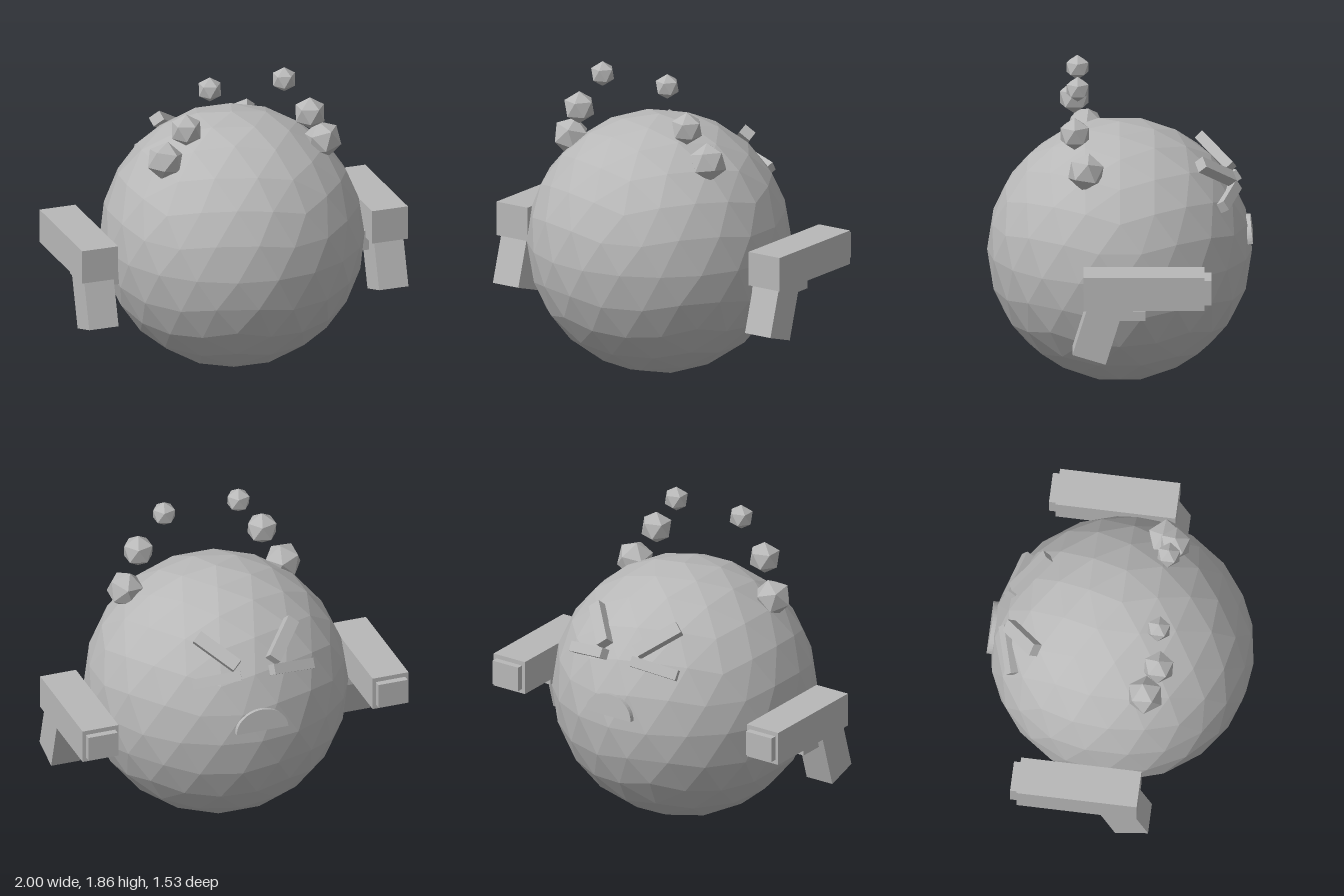
import * as THREE from 'three';

const bodyGray = new THREE.MeshStandardMaterial({ color: 0xb8b8b8, flatShading: true });
bodyGray.name = 'bodyGray';

const R = 0.762; // body radius, also the height of its centre

// Icosphere with its poles on the y axis; each level splits every triangle in four
function icosphere(radius, levels) {
  let verts = [0, -1, 0];
  for (const side of [-1, 1]) {
    for (let k = 0; k < 5; k++) {
      const a = k * Math.PI * 0.4 + (side < 0 ? Math.PI : 0);
      verts.push(0.8944 * Math.cos(a), side * 0.4472, 0.8944 * Math.sin(a));
    }
  }
  verts.push(0, 1, 0);
  let faces = [];
  const low = k => 1 + k % 5, up = k => 6 + k % 5;
  for (let k = 0; k < 5; k++) {
    faces.push(0, low(k), low(k + 1), 11, up(k + 1), up(k));
    faces.push(low(k), up(k + 3), low(k + 1), low(k), up(k + 2), up(k + 3));
  }
  let geo = new THREE.PolyhedronGeometry(verts, faces, radius, 0);
  for (let i = 0; i < levels; i++) {
    verts = Array.from(geo.attributes.position.array);
    faces = verts.slice(0, verts.length / 3).map((_, n) => n);
    geo = new THREE.PolyhedronGeometry(verts, faces, radius, 1);
  }
  return geo;
}

function add(parent, name, geo, x = 0, y = 0, z = 0) {
  const mesh = new THREE.Mesh(geo, bodyGray);
  mesh.name = name;
  mesh.position.set(x, y, z);
  parent.add(mesh);
  return mesh;
}

// Box given by its extents on each axis
function addBox(parent, name, [x0, x1], [y0, y1], [z0, z1]) {
  return add(parent, name, new THREE.BoxGeometry(x1 - x0, y1 - y0, z1 - z0),
    (x0 + x1) / 2, (y0 + y1) / 2, (z0 + z1) / 2);
}

// Bar between two points, lying flat against the body
function addBar(parent, name, from, to, width, depth) {
  const mid = from.clone().add(to).multiplyScalar(0.5);
  const along = to.clone().sub(from);
  const length = along.length();
  along.normalize();
  const out = mid.clone().sub(new THREE.Vector3(0, R, 0));
  out.addScaledVector(along, -out.dot(along)).normalize();
  const across = out.clone().cross(along);
  const bar = add(parent, name, new THREE.BoxGeometry(length, width, depth), mid.x, mid.y, mid.z);
  bar.quaternion.setFromRotationMatrix(new THREE.Matrix4().makeBasis(along, across, out));
}

// Blaster arm, built around x = 0 and moved to its side
function makeArm(s) {
  const arm = new THREE.Group();
  arm.name = s > 0 ? 'leftArm' : 'rightArm';
  addBox(arm, 'barrel', [-0.11, 0.11], [0.678, 0.878], [-0.486, 0.211]);
  addBox(arm, 'muzzle', [-0.09, 0.09], [0.705, 0.852], [-0.525, -0.48]);
  addBox(arm, 'trigger', [-0.05, 0.05], [0.602, 0.66], [-0.147, 0.06]);
  const grip = add(arm, 'grip', new THREE.BoxGeometry(0.18, 0.36, 0.2), 0, 0.553, 0.126);
  grip.rotation.x = -0.298;
  // Stub joining the arm to the body
  const stub = [-0.25, -0.04].map(v => v * s).sort((a, b) => a - b);
  addBox(arm, 'hand', stub, [0.6, 0.72], [-0.04, 0.107]);
  arm.position.x = s * 0.89;
  return arm;
}

export function createModel() {
  const model = new THREE.Group();
  model.name = 'roundCreature';
  add(model, 'body', icosphere(R, 2), 0, R, 0);

  const V = (x, y, z) => new THREE.Vector3(x, y, z);
  for (const s of [1, -1]) {
    const side = s > 0 ? 'left' : 'right';
    model.add(makeArm(s));

    // Floating horn: three shrinking balls
    const horn = new THREE.Group();
    horn.name = side + 'Horn';
    const balls = [[0.485, 1.36, 0.195, 0.111], [0.38, 1.56, 0.26, 0.096], [0.228, 1.783, 0.242, 0.074]];
    balls.forEach(([x, y, z, r], i) => {
      const ball = add(horn, 'hornBall' + (i + 1), icosphere(r, 0), s * x, y, z);
      if (i === 0) ball.rotation.set(-0.16, 0, s * 0.22);
    });
    model.add(horn);

    // Face bars
    addBar(model, side + 'Brow', V(s * 0.11, 1.215, -0.64), V(s * 0.29, 1.35, -0.465), 0.075, 0.06);
    addBar(model, side + 'Eye', V(s * 0.095, 1.165, -0.665), V(s * 0.365, 1.115, -0.59), 0.06, 0.055);
  }

  // Half-round mouth, flat side down
  const half = new THREE.Shape();
  half.absellipse(0, 0, 0.158, 0.13, 0, Math.PI, false);
  half.closePath();
  const mouth = add(model, 'mouth',
    new THREE.ExtrudeGeometry(half, { depth: 0.03, bevelEnabled: false, curveSegments: 12 }), 0, 0.836, -0.766);
  mouth.rotation.x = 0.11;

  return model;
}
